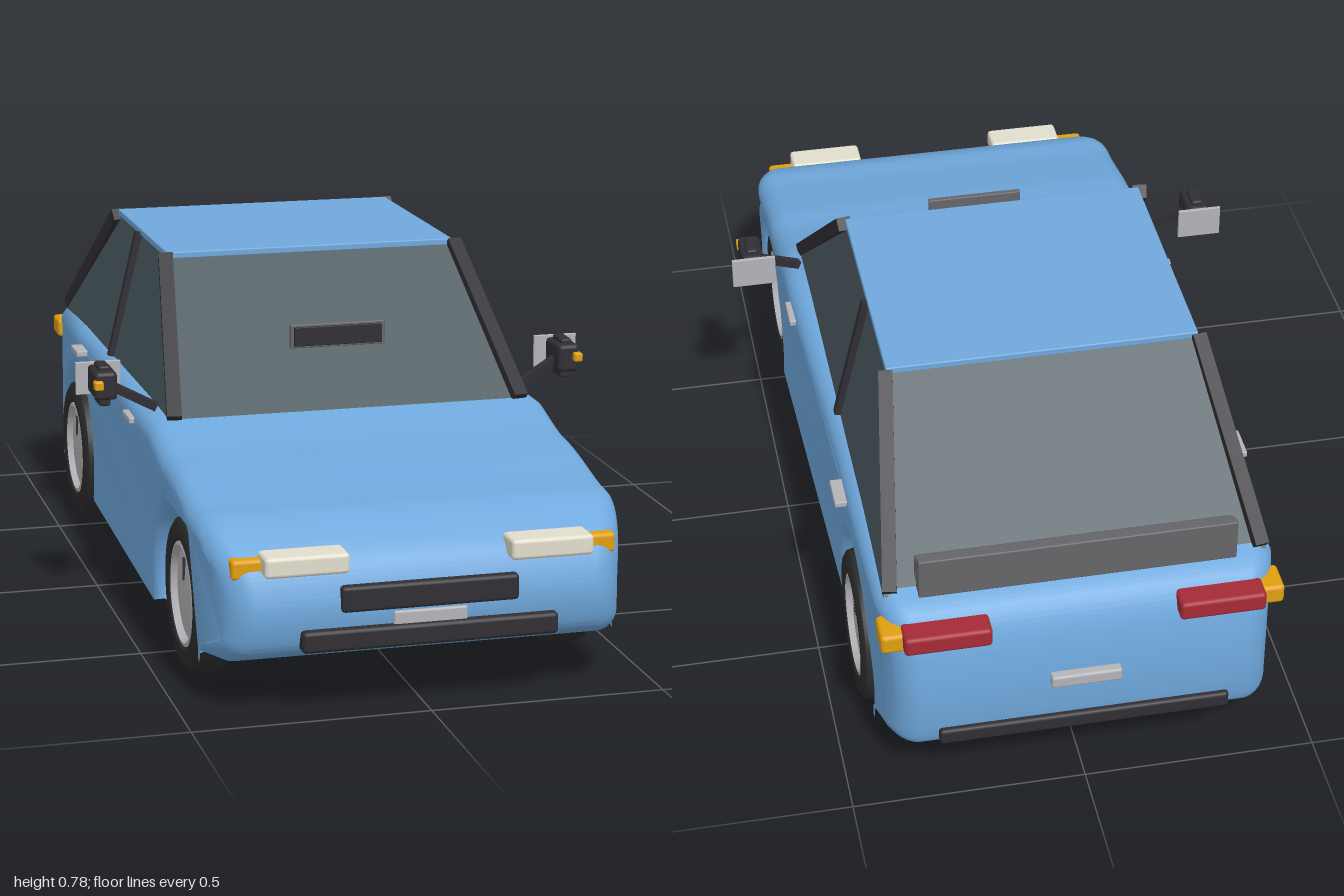
import * as THREE from 'three';
import { toCreasedNormals } from 'three/addons/utils/BufferGeometryUtils.js';
import { RoundedBoxGeometry } from 'three/addons/geometries/RoundedBoxGeometry.js';

const mat = (color, side = THREE.FrontSide) => new THREE.MeshStandardMaterial({ color, side });
const paint = mat(0x6fa8dc), glass = mat(0x47565c), black = mat(0x302e33), rubber = mat(0x2c2c2c);
const chrome = mat(0xb4b4b8), grey = mat(0x66666a), amber = mat(0xe0a010), red = mat(0xa52a36), lamp = mat(0xe2dece);
const liner = mat(0x2c2c2c, THREE.DoubleSide);

const AXLE = 0.62, HUB_Y = 0.165, ARCH = 0.187;

export function createModel() {
  const car = new THREE.Group();
  car.name = 'car';

  const add = (name, geometry, material, parent = car) => {
    const mesh = new THREE.Mesh(geometry, material);
    mesh.name = name;
    parent.add(mesh);
    return mesh;
  };
  // Softly rounded box given by its extents on each axis
  const block = (name, material, [x0, x1], [y0, y1], [z0, z1], parent = car) => {
    const w = x1 - x0, h = y1 - y0, d = z1 - z0;
    const mesh = add(name, new RoundedBoxGeometry(w, h, d, 2, Math.min(w, h, d) * 0.2), material, parent);
    mesh.position.set((x0 + x1) / 2, (y0 + y1) / 2, (z0 + z1) / 2);
    return mesh;
  };
  // Square bar between two points
  const bar = (name, material, from, to, w, d, parent = car) => {
    const a = new THREE.Vector3(...from), b = new THREE.Vector3(...to);
    const mesh = add(name, new THREE.BoxGeometry(w, d, a.distanceTo(b)), material, parent);
    mesh.position.copy(a).add(b).multiplyScalar(0.5);
    mesh.lookAt(b);
    return mesh;
  };

  // Lower body: side profile (z, y) with wheel arches, extruded across the car
  const sill = Math.asin((HUB_Y - 0.09) / ARCH);
  const profile = new THREE.Shape();
  profile.moveTo(-0.9, 0.1);
  for (const z of [-AXLE, AXLE]) profile.absarc(z, HUB_Y, ARCH, Math.PI + sill, -sill, true);
  profile.lineTo(0.9, 0.105);
  profile.splineThru([[0.96, 0.135], [0.982, 0.19], [0.98, 0.25], [0.95, 0.315], [0.89, 0.36],
    [0.83, 0.388], [0.75, 0.398], [0.6, 0.43], [0.5, 0.442], [0.37, 0.475]].map(p => new THREE.Vector2(...p)));
  for (let z = 0.2; z > -0.8; z -= 0.2) profile.lineTo(z, 0.478);
  profile.lineTo(-0.87, 0.475);
  profile.splineThru([[-0.93, 0.445], [-0.965, 0.38], [-0.982, 0.26], [-0.975, 0.15],
    [-0.95, 0.115], [-0.9, 0.1]].map(p => new THREE.Vector2(...p)));
  const bevel = 0.045, depth = 0.9 - 2 * bevel;
  let body = new THREE.ExtrudeGeometry(profile, {
    depth, curveSegments: 32, bevelEnabled: true, bevelThickness: bevel,
    bevelSize: 0.042, bevelOffset: -0.042, bevelSegments: 6,
  });
  body.translate(0, 0, -depth / 2).rotateY(-Math.PI / 2);
  // Narrow the tail slightly and round the corners in plan
  const pos = body.attributes.position;
  for (let i = 0; i < pos.count; i++) {
    const z = pos.getZ(i), end = Math.max(0, (Math.abs(z) - 0.78) / 0.2);
    const tail = 1 - 0.045 * THREE.MathUtils.smoothstep(-z, -0.3, 0.45);
    pos.setX(i, pos.getX(i) * tail * (1 - 0.12 * end * end));
  }
  add('body', toCreasedNormals(body, 0.6), paint);

  // Cabin glass: a box drawn in towards the roof
  const cabin = new THREE.BoxGeometry(1, 1, 1);
  const cp = cabin.attributes.position;
  for (let i = 0; i < cp.count; i++) {
    const top = cp.getY(i) > 0, front = cp.getZ(i) > 0;
    cp.setXYZ(i, Math.sign(cp.getX(i)) * (top ? 0.33 : 0.405), top ? 0.768 : 0.465,
      front ? (top ? 0.03 : 0.37) : (top ? -0.52 : -0.88));
  }
  cabin.computeVertexNormals();
  add('windows', cabin, glass);
  block('roof', paint, [-0.335, 0.335], [0.762, 0.778], [-0.525, 0.035]);

  // Nose and tail fittings
  block('grille', black, [-0.187, 0.187], [0.217, 0.272], [0.95, 0.992]);
  block('frontBumper', black, [-0.27, 0.27], [0.14, 0.186], [0.95, 1]);
  block('frontPlate', chrome, [-0.078, 0.078], [0.182, 0.213], [0.965, 0.99]);
  block('rearBumper', black, [-0.31, 0.31], [0.135, 0.172], [-0.992, -0.95]);
  block('rearPlate', chrome, [-0.075, 0.075], [0.26, 0.29], [-1, -0.97]);
  block('interiorMirror', grey, [-0.108, 0.108], [0.595, 0.648], [0.255, 0.268]);
  block('interiorMirrorBack', black, [-0.1, 0.1], [0.6, 0.643], [0.266, 0.274]);

  // Slatted rear spoiler
  for (const [z, y] of [[-0.852, 0.54], [-0.873, 0.555], [-0.894, 0.565]])
    block('spoilerSlat', grey, [-0.335, 0.335], [0.47, y], [z - 0.008, z + 0.008]);

  // Tyre and dished rim profiles, spun about the axle
  const tyreProfile = [[0.105, -0.045], [0.15, -0.045], [0.162, -0.037], [0.166, -0.02], [0.166, 0.02],
    [0.162, 0.037], [0.15, 0.045], [0.118, 0.045], [0.105, 0.035]].map(p => new THREE.Vector2(...p));
  const rimProfile = [[0, -0.035], [0.106, -0.035], [0.112, 0.042], [0.104, 0.044], [0.096, 0.03],
    [0.06, 0.034], [0, 0.038]].map(p => new THREE.Vector2(...p));
  const tyre = toCreasedNormals(new THREE.LatheGeometry(tyreProfile, 48).toNonIndexed(), 0.6);
  const rim = toCreasedNormals(new THREE.LatheGeometry(rimProfile.slice().sort(() => 0), 48).toNonIndexed(), 0.5);

  for (const s of [1, -1]) {
    const side = new THREE.Group();
    side.name = s > 0 ? 'leftSide' : 'rightSide';
    car.add(side);
    const span = (a, b) => (s > 0 ? [a, b] : [-b, -a]);

    // Wheels
    for (const z of [AXLE, -AXLE]) {
      const wheel = new THREE.Group();
      wheel.name = z > 0 ? 'frontWheel' : 'rearWheel';
      wheel.position.set(s * 0.393, HUB_Y, z);
      wheel.rotation.z = -s * Math.PI / 2;
      side.add(wheel);
      add('tyre', tyre, rubber, wheel);
      add('rim', rim, chrome, wheel);
      const valve = add('valve', new THREE.BoxGeometry(0.05, 0.006, 0.005), black, wheel);
      valve.position.set(-s * 0.055, 0.036, 0);
    }
    // Dark liner behind the front wheel
    const archLiner = add('archLiner', new THREE.CircleGeometry(ARCH, 32, -sill, Math.PI + 2 * sill), liner, side);
    archLiner.rotation.y = Math.PI / 2;
    archLiner.position.set(s * 0.345, HUB_Y, AXLE);

    // Window pillars
    bar('frontPillar', black, [s * 0.392, 0.475, 0.365], [s * 0.337, 0.768, 0.03], 0.032, 0.03, side);
    bar('middlePillar', black, [s * 0.403, 0.475, -0.27], [s * 0.333, 0.768, -0.27], 0.02, 0.025, side);
    bar('rearPillar', black, [s * 0.392, 0.475, -0.88], [s * 0.335, 0.766, -0.52], 0.03, 0.03, side);

    // Lamps
    block('headlight', lamp, span(0.17, 0.345), [0.3, 0.343], [0.92, 0.992], side);
    block('frontIndicator', amber, span(0.338, 0.405), [0.29, 0.332], [0.9, 0.955], side);
    block('tailLight', red, span(0.197, 0.38), [0.393, 0.437], [-0.99, -0.93], side);
    block('rearIndicator', amber, span(0.365, 0.425), [0.385, 0.43], [-0.965, -0.89], side);

    // Door handles
    block('frontHandle', chrome, span(0.43, 0.46), [0.431, 0.445], [0.125, 0.205], side);
    block('rearHandle', chrome, span(0.41, 0.455), [0.431, 0.445], [-0.54, -0.46], side);

    // Door mirror
    bar('mirrorArm', black, [s * 0.415, 0.488, 0.29], [s * 0.52, 0.54, 0.26], 0.018, 0.018, side);
    block('mirrorHousing', black, span(0.503, 0.553), [0.512, 0.575], [0.21, 0.305], side);
    block('mirrorCore', black, span(0.515, 0.541), [0.495, 0.585], [0.225, 0.285], side);
    block('mirrorGlass', chrome, span(0.478, 0.578), [0.505, 0.578], [0.2, 0.208], side);
    block('mirrorIndicator', amber, span(0.536, 0.556), [0.538, 0.558], [0.295, 0.32], side);
  }
  return car;
}
